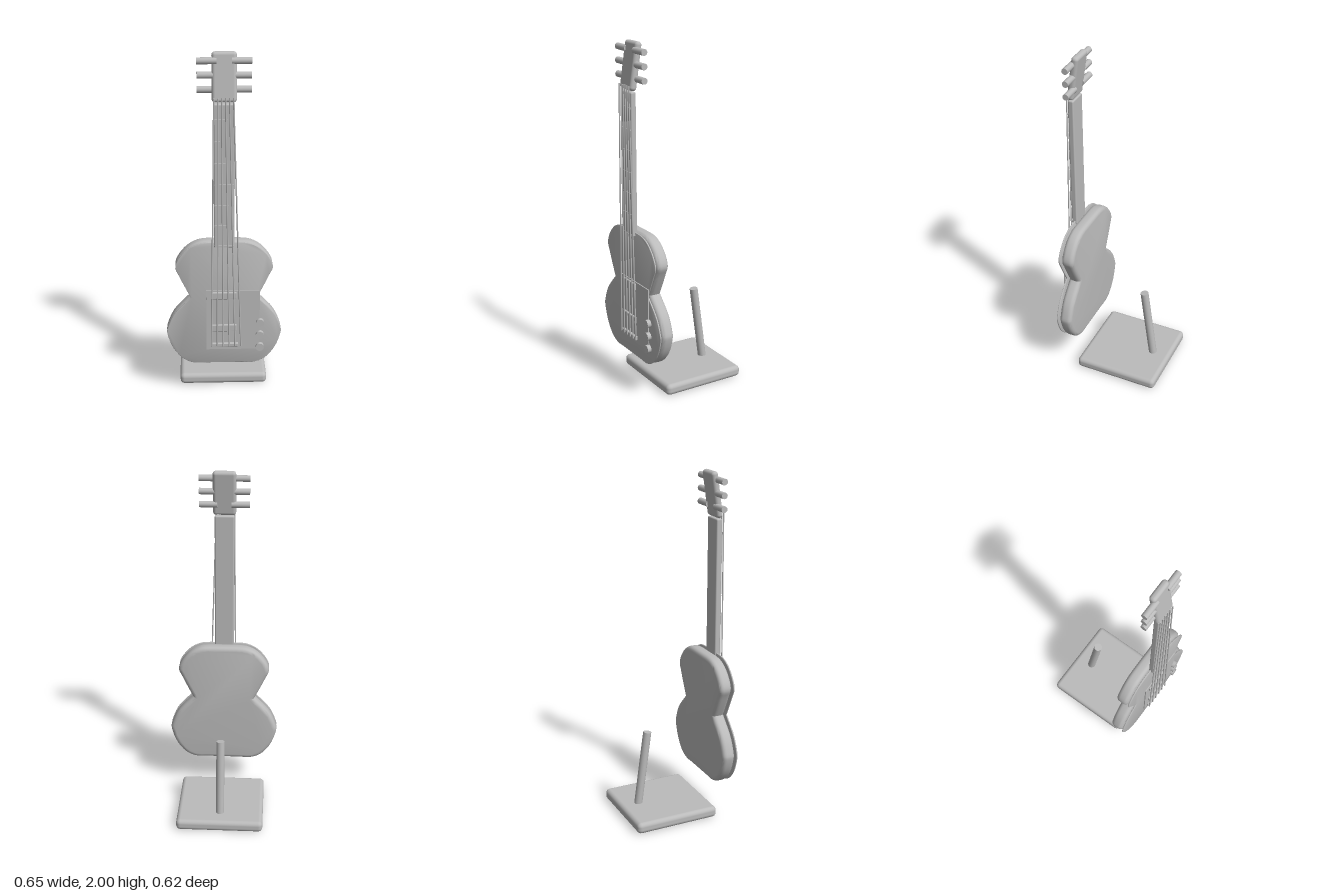
import * as THREE from 'three';
import { toCreasedNormals } from 'three/addons/utils/BufferGeometryUtils.js';
import { RoundedBoxGeometry } from 'three/addons/geometries/RoundedBoxGeometry.js';

const grey = new THREE.MeshStandardMaterial({ color: 0xbbbbbb });
grey.name = 'plain grey';

function add(parent, name, geometry, x = 0, y = 0, z = 0) {
  const mesh = new THREE.Mesh(geometry, grey);
  mesh.name = name;
  mesh.position.set(x, y, z);
  parent.add(mesh);
  return mesh;
}

// Cylinder running between two points
function rod(parent, name, from, to, radius, sides = 16) {
  const a = new THREE.Vector3(...from), b = new THREE.Vector3(...to);
  const dir = b.clone().sub(a);
  const mesh = add(parent, name, new THREE.CylinderGeometry(radius, radius, dir.length(), sides));
  mesh.position.copy(a).add(b).multiplyScalar(0.5);
  mesh.quaternion.setFromUnitVectors(new THREE.Vector3(0, 1, 0), dir.normalize());
  return mesh;
}

// Box given by its limits on each axis
function block(parent, name, [x0, x1], [y0, y1], [z0, z1], radius = 0) {
  const size = [x1 - x0, y1 - y0, z1 - z0];
  const geometry = radius ? new RoundedBoxGeometry(...size, 3, radius) : new THREE.BoxGeometry(...size);
  return add(parent, name, geometry, (x0 + x1) / 2, (y0 + y1) / 2, (z0 + z1) / 2);
}

// Waisted body outline: two smooth bouts meeting at the waist, mirrored
function bodyShape() {
  const lower = [[0.1, 0.2], [0.17, 0.2], [0.235, 0.23], [0.29, 0.3], [0.32, 0.385], [0.317, 0.43],
    [0.275, 0.52], [0.185, 0.615]];
  const upper = [[0.185, 0.615], [0.215, 0.675], [0.25, 0.75], [0.27, 0.8], [0.25, 0.855],
    [0.2, 0.912], [0.14, 0.943], [0.08, 0.95]];
  const smooth = (pts) => new THREE.SplineCurve(pts.map((p) => new THREE.Vector2(...p))).getPoints(24);
  const half = [...smooth(lower), ...smooth(upper).slice(1)];
  const mirrored = half.map((p) => new THREE.Vector2(-p.x, p.y)).reverse();
  return new THREE.Shape([...half, ...mirrored]);
}

function slab(thickness, bevel) {
  const geometry = new THREE.ExtrudeGeometry(bodyShape(), {
    depth: thickness - 2 * bevel, bevelThickness: bevel, bevelSize: bevel,
    bevelOffset: -bevel, bevelSegments: 4,
  });
  geometry.translate(0, 0, bevel);
  return toCreasedNormals(geometry, 0.6);
}

export function createModel() {
  const model = new THREE.Group();
  model.name = 'guitarOnStand';

  // Stand
  const stand = new THREE.Group();
  stand.name = 'stand';
  model.add(stand);
  block(stand, 'standBase', [-0.253, 0.253], [0, 0.066], [-0.315, 0.19], 0.025);
  rod(stand, 'standPost', [0, 0.05, -0.207], [0, 0.51, -0.143], 0.024);

  // Body, thin front plate and pickguard
  add(model, 'body', slab(0.075, 0.024), 0, 0, 0.19);
  add(model, 'frontPlate', slab(0.008, 0.003), 0, 0, 0.273);
  block(model, 'pickguard', [-0.1, 0.2], [0.29, 0.66], [0.281, 0.287]);

  // Pickups, bridge and knobs
  for (const y of [0.43, 0.632]) {
    block(model, 'pickup', [-0.07, 0.07], [y - 0.021, y + 0.021], [0.285, 0.299], 0.005);
  }
  block(model, 'bridge', [-0.075, 0.08], [0.31, 0.335], [0.285, 0.303], 0.005);
  for (const y of [0.307, 0.383, 0.46]) rod(model, 'knob', [0.202, y, 0.281], [0.202, y, 0.304], 0.023, 24);

  // Neck and frets
  block(model, 'neck', [-0.056, 0.056], [0.925, 1.735], [0.265, 0.298], 0.008);
  for (let i = 0; i < 7; i++) {
    const y = 0.935 + i * 0.119;
    block(model, 'fret', [-0.052, 0.052], [y - 0.004, y + 0.004], [0.295, 0.302]);
  }

  // Headstock, leaning back, with three tuning pegs a side
  const head = add(model, 'headstock', new RoundedBoxGeometry(0.131, 0.262, 0.04, 3, 0.018), 0, 1.87, 0.265);
  head.rotation.x = -0.15;
  for (const y of [1.805, 1.88, 1.955]) {
    for (const side of [-1, 1]) rod(model, 'tuningPeg', [side * 0.04, y, 0.263], [side * 0.143, y, 0.263], 0.018);
  }

  // Strings, spreading towards the bridge
  for (let i = 0; i < 6; i++) {
    rod(model, 'string', [-0.072 + i * 0.0332, 0.32, 0.306], [-0.055 + i * 0.0205, 1.77, 0.306], 0.004, 8);
  }
  return model;
}
